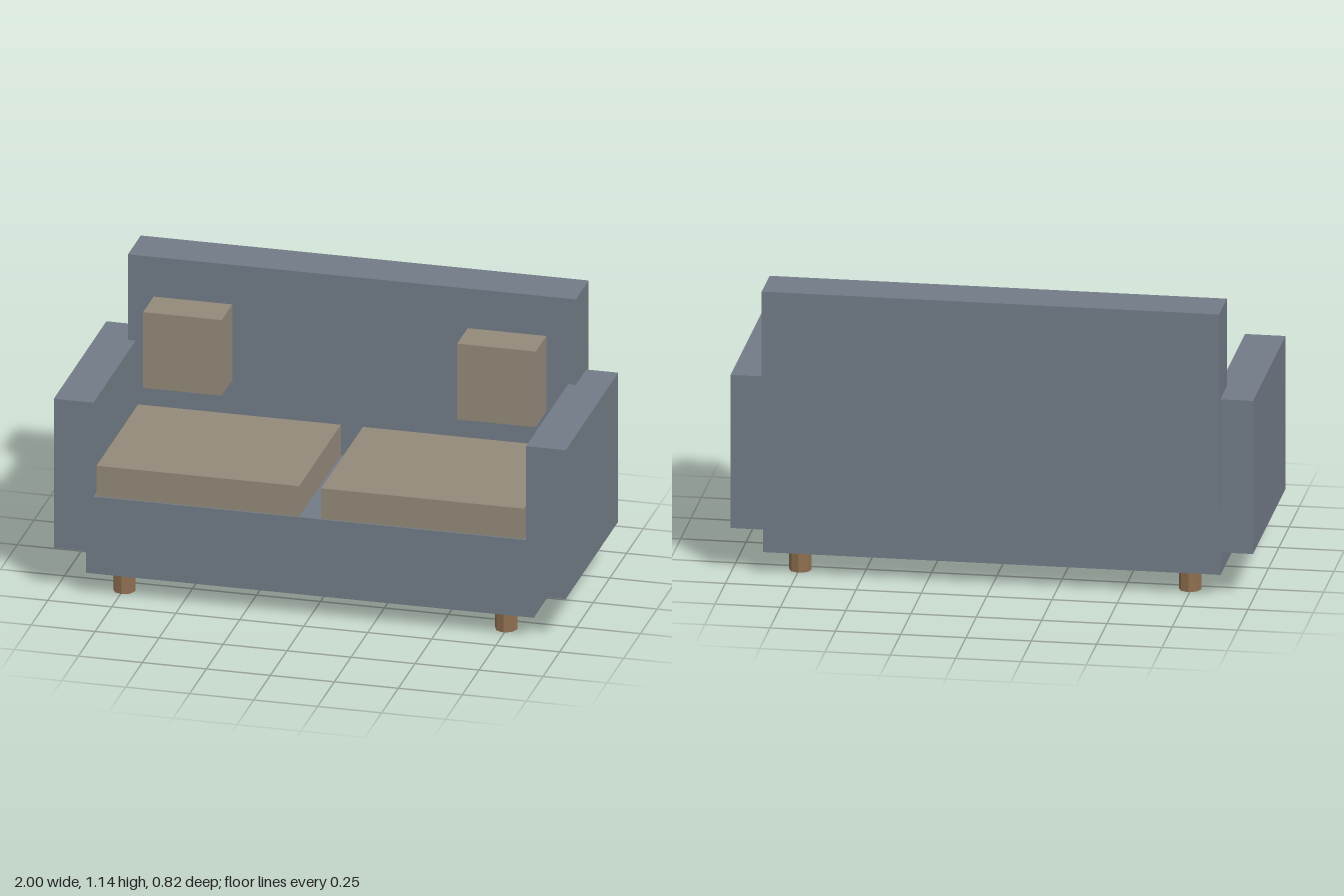
import * as THREE from 'three';

const fabric = new THREE.MeshStandardMaterial({ color: 0x727c87 });
const cushionCloth = new THREE.MeshStandardMaterial({ color: 0x958a7b });
const wood = new THREE.MeshStandardMaterial({ color: 0x8f7050, flatShading: true });

// Box given by its [min, max] extents on each axis
function box(name, material, [x0, x1], [y0, y1], [z0, z1]) {
  const mesh = new THREE.Mesh(new THREE.BoxGeometry(x1 - x0, y1 - y0, z1 - z0), material);
  mesh.position.set((x0 + x1) / 2, (y0 + y1) / 2, (z0 + z1) / 2);
  mesh.name = name;
  return mesh;
}

export function createModel() {
  const sofa = new THREE.Group();
  sofa.name = 'sofa';

  // Seat base and raised backrest
  sofa.add(box('base', fabric, [-0.875, 0.875], [0.09, 0.405], [-0.375, 0.41]));
  sofa.add(box('backrest', fabric, [-0.875, 0.875], [0.355, 1.14], [-0.412, -0.22]));

  // Parts mirrored on both sides
  const legGeometry = new THREE.CylinderGeometry(0.043, 0.043, 0.09, 8);
  for (const [side, s] of [['left', 1], ['right', -1]]) {
    const span = (a, b) => (s > 0 ? [a, b] : [-b, -a]);
    sofa.add(box(`${side}Armrest`, fabric, span(0.845, 1), [0.18, 0.79], [-0.376, 0.411]));
    sofa.add(box(`${side}SeatCushion`, cushionCloth, span(0.043, 0.835), [0.405, 0.53], [-0.23, 0.403]));
    sofa.add(box(`${side}Pillow`, cushionCloth, span(0.46, 0.767), [0.68, 0.99], [-0.192, -0.034]));

    // Short octagonal legs
    for (const [end, z] of [['Front', 0.327], ['Back', -0.288]]) {
      const leg = new THREE.Mesh(legGeometry, wood);
      leg.position.set(s * 0.746, 0.045, z);
      leg.name = `${side}${end}Leg`;
      sofa.add(leg);
    }
  }
  return sofa;
}
